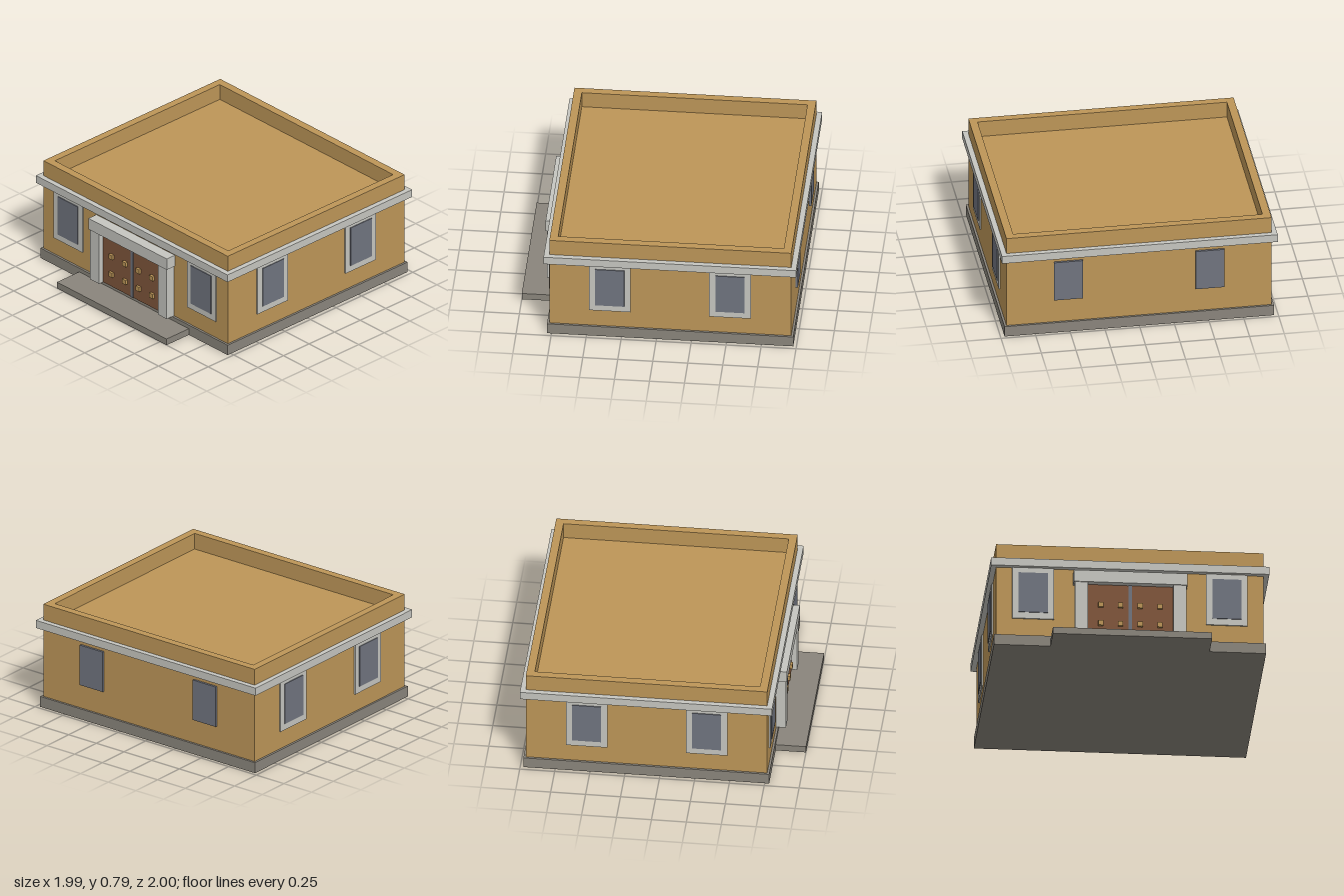
import * as THREE from 'three';

const mat = (name, color) => {
  const m = new THREE.MeshStandardMaterial({ color });
  m.name = name;
  return m;
};

export function createModel() {
  const plaster = mat('ochre plaster', 0xbd9658);
  const trim = mat('pale stone trim', 0xc6c6c0);
  const stone = mat('grey foundation stone', 0x8a857c);
  const glass = mat('slate glass', 0x70747f);
  const wood = mat('brown door wood', 0x80563b);

  const building = new THREE.Group();
  building.name = 'building';

  // Box given by its limits on each axis
  const box = (name, material, [x0, x1], [y0, y1], [z0, z1], parent = building) => {
    const mesh = new THREE.Mesh(new THREE.BoxGeometry(x1 - x0, y1 - y0, z1 - z0), material);
    mesh.position.set((x0 + x1) / 2, (y0 + y1) / 2, (z0 + z1) / 2);
    mesh.name = name;
    parent.add(mesh);
    return mesh;
  };

  const CZ = -0.0975; // centre of the main block in z
  const HX = 0.955, HZ = 0.864; // half sizes of the walls

  const rect = (path, hx, hz) => path.moveTo(-hx, -hz).lineTo(hx, -hz).lineTo(hx, hz).lineTo(-hx, hz).closePath();

  // Rectangular band around the main block
  const band = (name, material, hx, hz, ix, iz, y0, y1) => {
    const shape = rect(new THREE.Shape(), hx, hz);
    shape.holes.push(rect(new THREE.Path(), ix, iz));
    const geo = new THREE.ExtrudeGeometry(shape, { depth: y1 - y0, bevelEnabled: false });
    geo.rotateX(-Math.PI / 2);
    const mesh = new THREE.Mesh(geo, material);
    mesh.position.set(0, y0, CZ);
    mesh.name = name;
    building.add(mesh);
  };

  // Foundation, step, walls with flat roof, cornice and parapet
  box('foundation', stone, [-0.971, 0.971], [0, 0.08], [CZ - 0.88, CZ + 0.88]);
  box('frontStep', stone, [-0.568, 0.568], [0, 0.05], [0.76, 1]);
  box('wallsAndRoof', plaster, [-HX, HX], [0.08, 0.672], [CZ - HZ, CZ + HZ]);
  band('cornice', trim, 0.993, 0.9025, HX - 0.01, HZ - 0.01, 0.612, 0.671);
  band('parapet', plaster, HX, HZ, 0.898, 0.806, 0.672, 0.793);

  // Window facing +z around its own origin on the wall surface
  const addWindow = (name, x, z, angle, framed) => {
    const w = new THREE.Group();
    w.name = name;
    if (framed) box('windowFrame', trim, [-0.149, 0.149], [0.215, 0.613], [-0.01, 0.01], w);
    box('windowPane', glass, [-0.104, 0.104], [0.263, 0.572], [-0.01, 0.016], w);
    w.position.set(x, 0, z);
    w.rotation.y = angle;
    building.add(w);
  };

  for (const s of [-1, 1]) {
    const side = s > 0 ? 'left' : 'right';
    addWindow(`${side}FrontWindow`, s * 0.691, CZ + HZ, 0, true);
    addWindow(`${side}BackWindow`, s * 0.51, CZ - HZ, Math.PI, false);
    for (const t of [-1, 1]) {
      addWindow(`${side}Side${t > 0 ? 'Fore' : 'Rear'}Window`, s * HX, CZ + 0.002 + t * 0.43, s * Math.PI / 2, true);
    }
  }

  // Entrance: pillars, lintel, double door with studs
  const entrance = new THREE.Group();
  entrance.name = 'entrance';
  building.add(entrance);
  box('lintel', trim, [-0.406, 0.406], [0.488, 0.577], [0.75, 0.845], entrance);
  box('doorCentreStrip', glass, [-0.012, 0.012], [0.08, 0.488], [0.75, 0.803], entrance);
  for (const s of [-1, 1]) {
    const span = (a, b) => (s > 0 ? [a, b] : [-b, -a]);
    box('pillar', trim, span(0.305, 0.397), [0.08, 0.488], [0.75, 0.837], entrance);
    box('doorLeaf', wood, span(0.012, 0.305), [0.08, 0.488], [0.75, 0.797], entrance);
    for (const x of [0.07, 0.211]) {
      for (const y of [0.184, 0.328]) {
        box('doorStud', plaster, span(x - 0.018, x + 0.018), [y - 0.018, y + 0.018], [0.79, 0.816], entrance);
      }
    }
  }

  return building;
}
